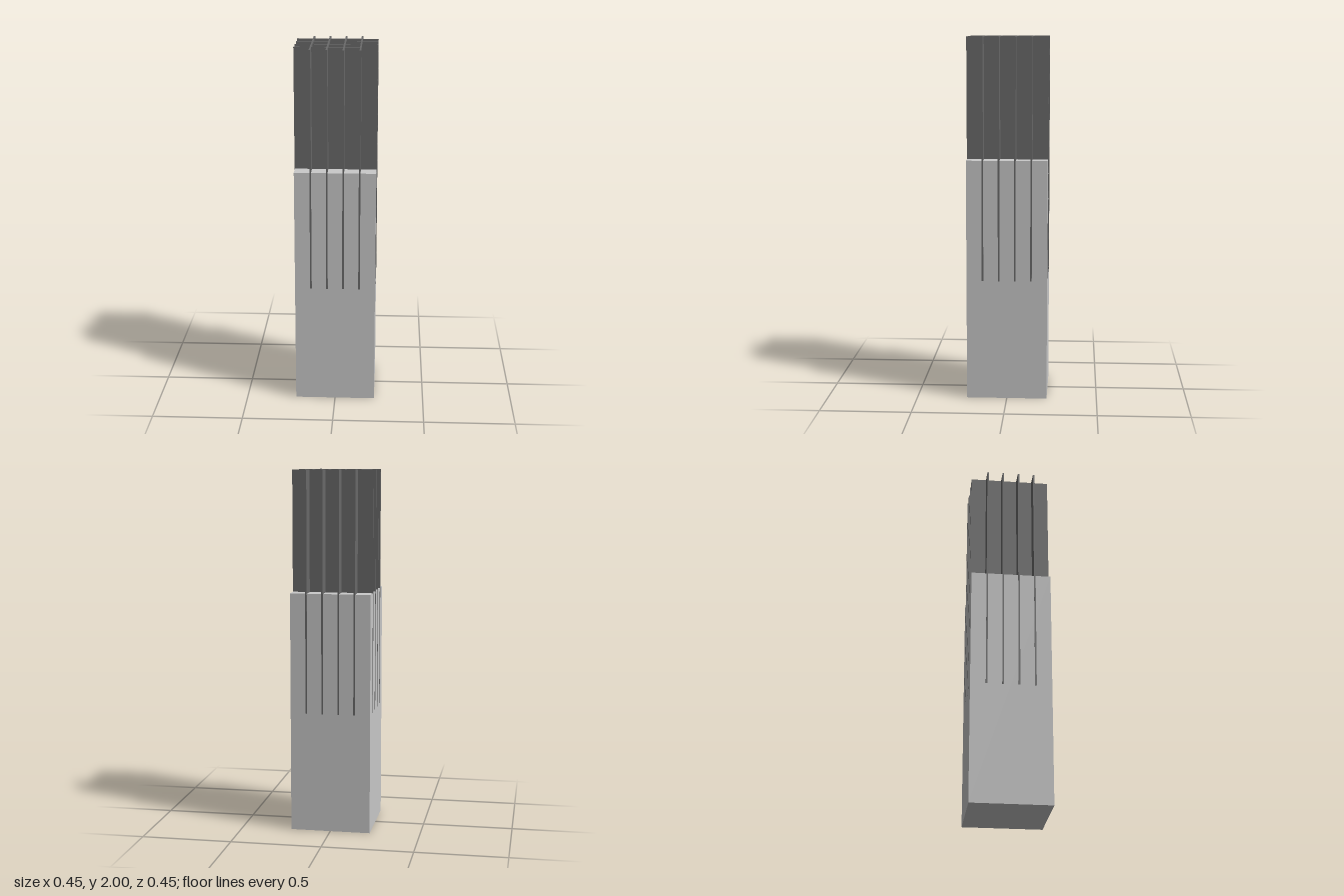
import * as THREE from 'three';

export function createModel() {
  const model = new THREE.Group();
  const lightGrey = new THREE.MeshStandardMaterial({ color: 0xcacaca });
  lightGrey.name = 'lightGrey';
  const darkGrey = new THREE.MeshStandardMaterial({ color: 0x6a6a6a });
  darkGrey.name = 'darkGrey';

  function addBox(name, material, w, h, d, x, y, z) {
    const mesh = new THREE.Mesh(new THREE.BoxGeometry(w, h, d), material);
    mesh.name = name;
    mesh.position.set(x, y + h / 2, z);
    model.add(mesh);
  }

  // Solid square block
  const block = 0.4444, third = 2 / 3;
  addBox('block', lightGrey, block, 2 * third, block, 0, 0, 0);

  // Crossing fins, sunk into the block and just proud of its sides
  const span = 0.448, thickness = 0.009, pitch = 0.0889;
  for (let i = 0; i < 4; i++) {
    const offset = (i - 1.5) * pitch;
    addBox('lengthwiseFin' + (i + 1), darkGrey, thickness, 2 * third, span, offset, third, 0);
    addBox('crosswiseFin' + (i + 1), darkGrey, span, 2 * third, thickness, 0, third, offset);
  }
  return model;
}
